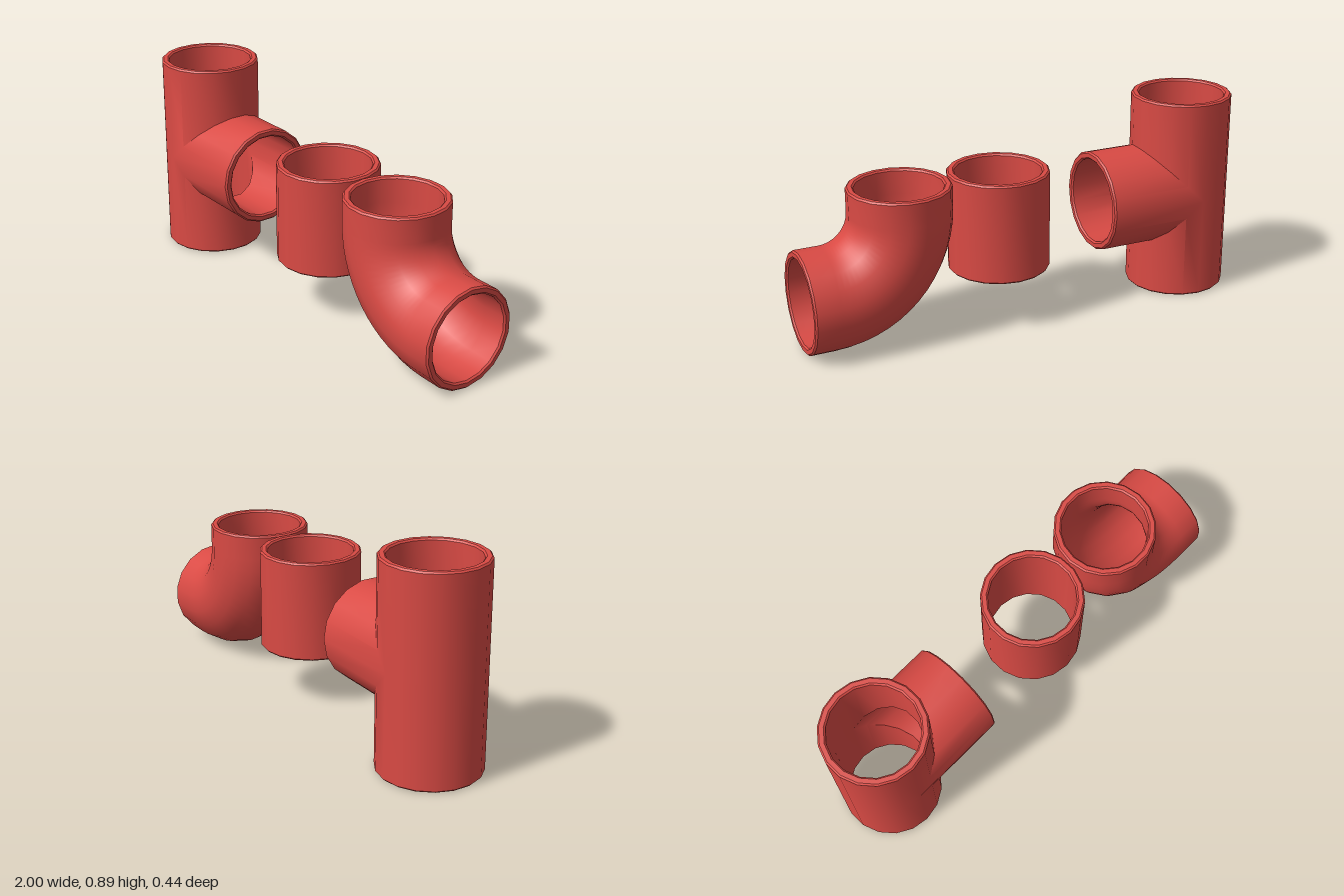
import * as THREE from 'three';
import { mergeGeometries, toCreasedNormals } from 'three/addons/utils/BufferGeometryUtils.js';

const SIDES = 18, OUTER = 0.22, BORE = 0.187, CHAMFER = 0.007;

// Skins a profile of [radius, station] pairs around an axis; place(x, z, station) positions each point.
function skin(profile, phase, place) {
  const pos = [], index = [];
  for (const [r, t] of profile) {
    for (let i = 0; i < SIDES; i++) {
      const a = phase + (i / SIDES) * Math.PI * 2;
      pos.push(...place(r * Math.cos(a), r * Math.sin(a), t));
    }
  }
  for (let j = 0; j < profile.length - 1; j++) {
    for (let i = 0; i < SIDES; i++) {
      const k = (i + 1) % SIDES;
      const a = j * SIDES + i, b = j * SIDES + k, c = a + SIDES, d = b + SIDES;
      index.push(a, c, d, a, d, b);
    }
  }
  const g = new THREE.BufferGeometry();
  g.setAttribute('position', new THREE.Float32BufferAttribute(pos, 3));
  g.setIndex(index);
  return g;
}

// Chamfered rim at the far end of a pipe, from outer wall to bore
const rim = (end) => [
  [OUTER, end - CHAMFER], [OUTER - CHAMFER, end],
  [BORE + CHAMFER, end], [BORE, end - CHAMFER],
];

// Closed profile of a pipe with both rims; stations are the bends in between
function pipeProfile(length, stations = []) {
  const start = [
    [BORE, CHAMFER], [BORE + CHAMFER, 0], [OUTER - CHAMFER, 0], [OUTER, CHAMFER],
  ];
  return [
    ...start,
    ...stations.map((t) => [OUTER, t]),
    ...rim(length),
    ...[...stations].reverse().map((t) => [BORE, t]),
    start[0],
  ];
}

// One arm of the tee, its root cut along the mitre given by root(x)
function teeArm(length, root) {
  const profile = [[OUTER, 0], ...rim(length), [BORE, 0]];
  return skin(profile, Math.PI / 2, (x, z, t) => [x, t === 0 ? root(x) : t, z]);
}

export function createModel() {
  const group = new THREE.Group();
  const material = new THREE.MeshStandardMaterial({ color: 0xd94a44 });
  const add = (name, geometry, x, y) => {
    const mesh = new THREE.Mesh(toCreasedNormals(geometry, 0.6), material);
    mesh.name = name;
    mesh.position.set(x, y, 0);
    group.add(mesh);
  };

  // Tee: upper and lower run plus a mitred side branch
  const half = (x) => Math.max(x, 0);
  add('teeFitting', mergeGeometries([
    teeArm(0.445, half),
    teeArm(0.445, half).rotateX(Math.PI),
    teeArm(0.44, Math.abs).rotateZ(-Math.PI / 2),
  ]), -0.78, 0.445);

  // Straight sleeve
  add('straightCoupling',
    skin(pipeProfile(0.437), Math.PI / 2, (x, z, t) => [x, t, z]), 0.11, 0.228);

  // Elbow: short straight, quarter bend, short straight; origin at the bend centre
  const straight = 0.11, bend = 0.335, steps = 14;
  const arc = bend * Math.PI / 2;
  const stations = Array.from({ length: steps + 1 }, (_, i) => straight + arc * i / steps);
  const place = (x, z, t) => {
    const s = t - straight;
    const phi = THREE.MathUtils.clamp(s / bend, 0, Math.PI / 2);
    const before = Math.max(-s, 0), after = Math.max(s - arc, 0);
    return [-(bend - x) * Math.cos(phi) + after, -(bend - x) * Math.sin(phi) + before, -z];
  };
  add('elbowFitting', skin(pipeProfile(arc + 2 * straight, stations), 0, place), 0.89, 0.555);

  return group;
}
